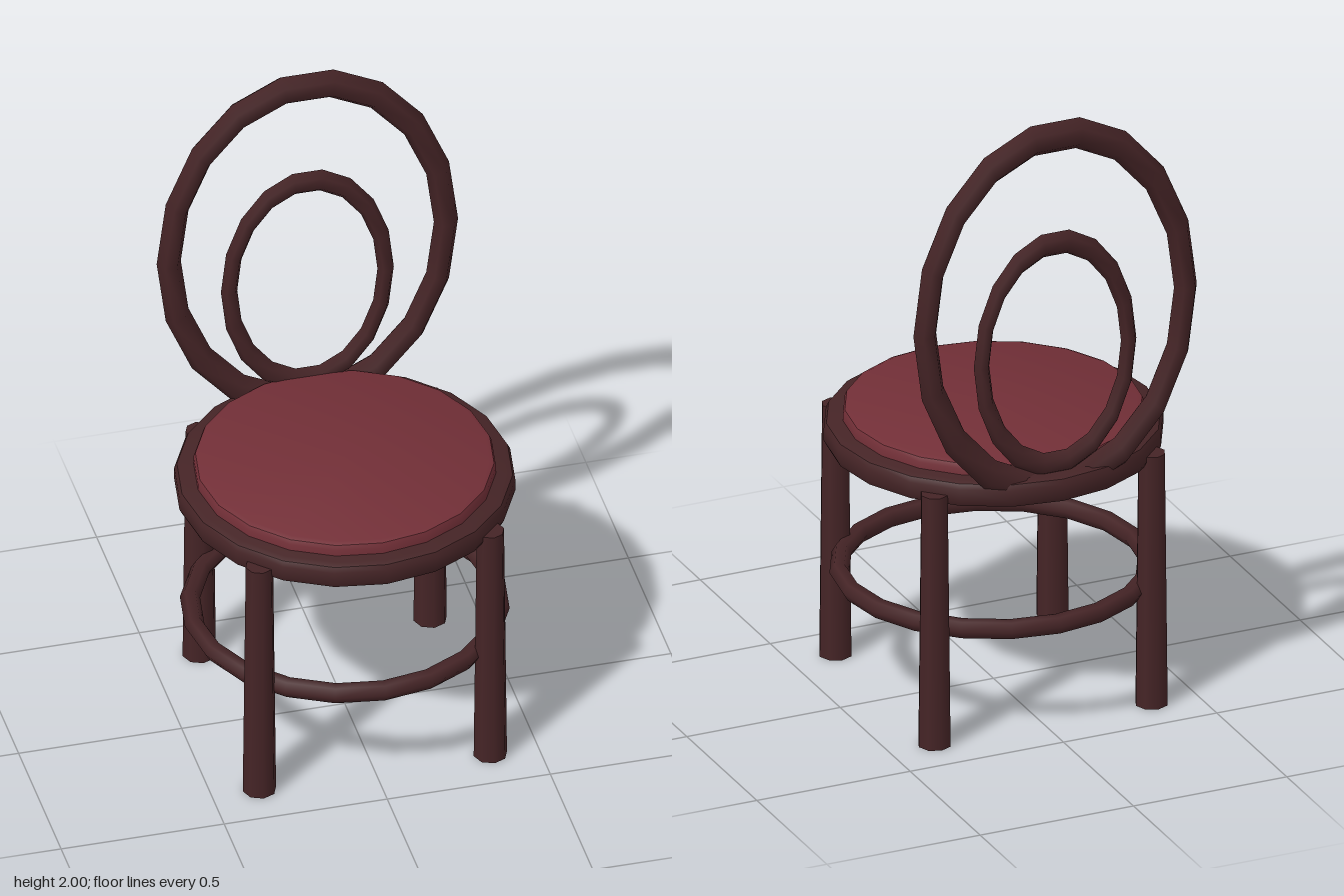
import * as THREE from 'three';
import { toCreasedNormals } from 'three/addons/utils/BufferGeometryUtils.js';

const wood = new THREE.MeshStandardMaterial({ color: 0x452426 });
wood.name = 'dark wood';
const fabric = new THREE.MeshStandardMaterial({ color: 0x722f37 });
fabric.name = 'wine red fabric';

function add(parent, name, geometry, material, x = 0, y = 0, z = 0) {
  const mesh = new THREE.Mesh(geometry, material);
  mesh.name = name;
  mesh.position.set(x, y, z);
  parent.add(mesh);
  return mesh;
}

// Twenty-sided turned disc from [radius, height] points, bottom to top
function disc(points) {
  const profile = points.map(([r, y]) => new THREE.Vector2(r, y));
  return toCreasedNormals(new THREE.LatheGeometry(profile, 20), 0.7);
}

export function createModel() {
  const chair = new THREE.Group();
  chair.name = 'chair';

  // Round seat frame with softened edges
  add(chair, 'seatFrame', disc([
    [0, 0.78], [0.482, 0.78], [0.499, 0.787], [0.507, 0.803],
    [0.507, 0.842], [0.499, 0.858], [0.482, 0.865], [0, 0.865],
  ]), wood);

  // Cushion set into the frame
  add(chair, 'seatCushion', disc([
    [0.45, 0.855], [0.45, 0.885], [0.444, 0.899], [0.43, 0.905], [0, 0.905],
  ]), fabric);

  // Four tapered legs, half outside the frame
  for (const [side, x] of [['Left', 0.354], ['Right', -0.354]]) {
    for (const [end, z] of [['front', 0.354], ['back', -0.354]]) {
      add(chair, `${end}${side}Leg`, new THREE.CylinderGeometry(0.042, 0.051, 0.818, 8), wood, x, 0.409, z);
    }
  }

  // Ring stretcher joining the legs
  const ring = add(chair, 'ringStretcher', new THREE.TorusGeometry(0.46, 0.03, 6, 20), wood, 0, 0.37, 0);
  ring.rotation.x = Math.PI / 2;

  // Two upright bentwood hoops forming the backrest
  const outer = add(chair, 'outerBackHoop', new THREE.TorusGeometry(0.425, 0.037, 6, 18), wood, 0, 1.385, -0.44);
  outer.scale.y = 1.35;
  const inner = add(chair, 'innerBackHoop', new THREE.TorusGeometry(0.24, 0.025, 6, 18), wood, 0, 1.245, -0.44);
  inner.scale.y = 1.51;

  return chair;
}
